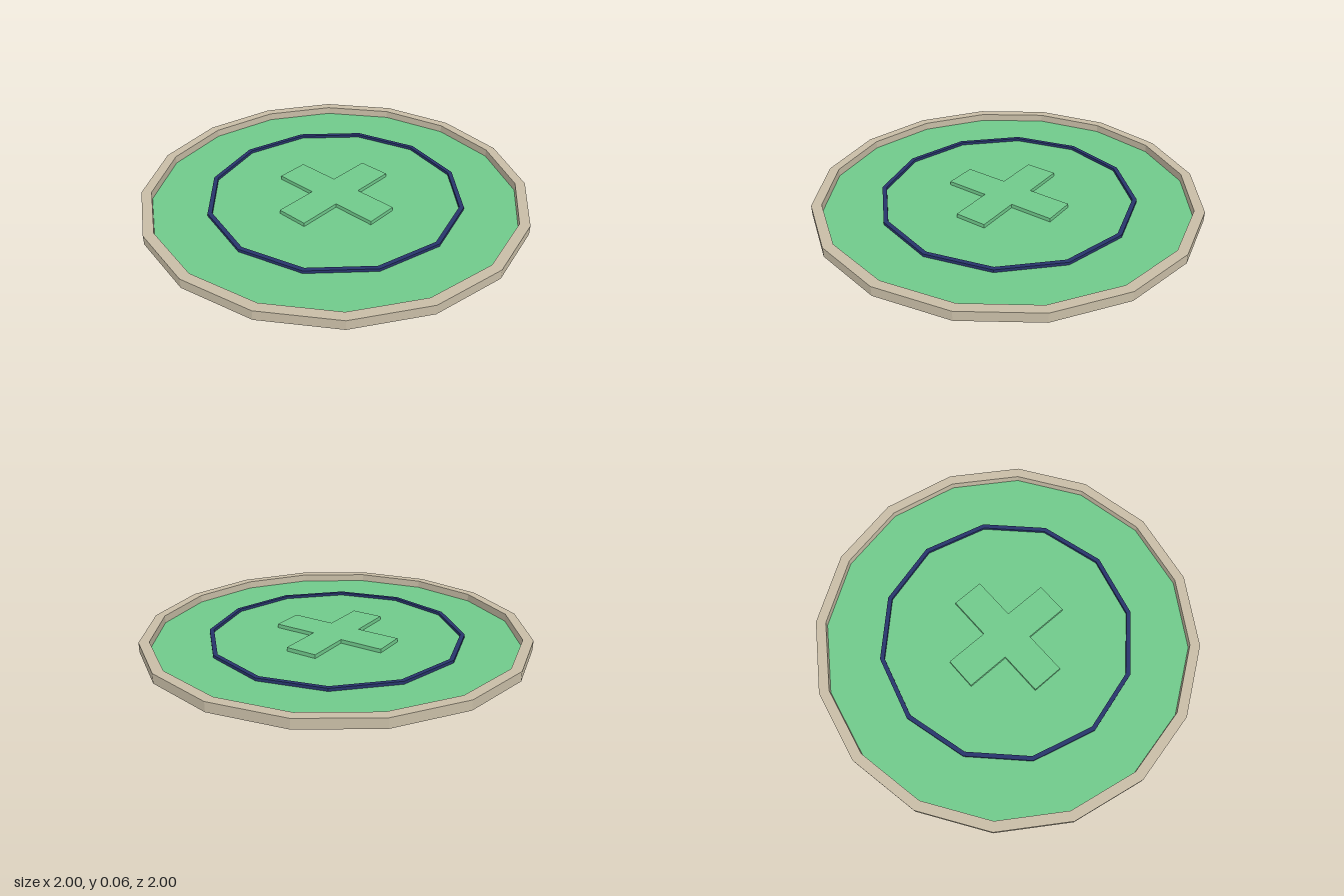
import * as THREE from 'three';

const mat = (name, color, flatShading = true) => {
  const m = new THREE.MeshStandardMaterial({ color, flatShading });
  m.name = name;
  return m;
};

// Points of a regular polygon with a corner on each axis
function polygon(radius, sides) {
  return Array.from({ length: sides }, (_, i) => {
    const a = (i / sides) * Math.PI * 2;
    return new THREE.Vector2(Math.cos(a) * radius, Math.sin(a) * radius);
  });
}

// Flat shape lying on the ground plane, raised from y0 to y1
function slab(name, shape, y0, y1, material) {
  const geo = new THREE.ExtrudeGeometry(shape, { depth: y1 - y0, bevelEnabled: false });
  geo.rotateX(-Math.PI / 2).translate(0, y0, 0);
  const mesh = new THREE.Mesh(geo, material);
  mesh.name = name;
  return mesh;
}

function ringShape(outer, inner, sides) {
  const shape = new THREE.Shape(polygon(outer, sides));
  shape.holes.push(new THREE.Path(polygon(inner, sides)));
  return shape;
}

function crossShape(reach, half) {
  const pts = [];
  for (let i = 0; i < 4; i++) {
    const a = (i * Math.PI) / 2;
    for (const [x, y] of [[reach, -half], [reach, half], [half, half]]) {
      pts.push(new THREE.Vector2(x, y).rotateAround(new THREE.Vector2(), a));
    }
  }
  return new THREE.Shape(pts);
}

export function createModel() {
  const green = mat('green', 0x70c98b);
  const stone = mat('stone', 0xc8bda6);
  const navy = mat('navy', 0x27346b);

  const group = new THREE.Group();
  group.name = 'roundPad';
  group.add(
    // Base disc, its underside just below the rim
    slab('baseDisc', new THREE.Shape(polygon(0.952, 16)), 0, 0.02, green),
    // Sixteen-sided raised rim
    slab('rim', ringShape(1, 0.948, 16), 0.01, 0.06, stone),
    // Twelve-sided inlaid ring
    slab('innerRing', ringShape(0.668, 0.645, 12), 0.015, 0.035, navy),
    // Raised cross in the middle
    slab('cross', crossShape(0.317, 0.085), 0.015, 0.04, green)
  );
  return group;
}
